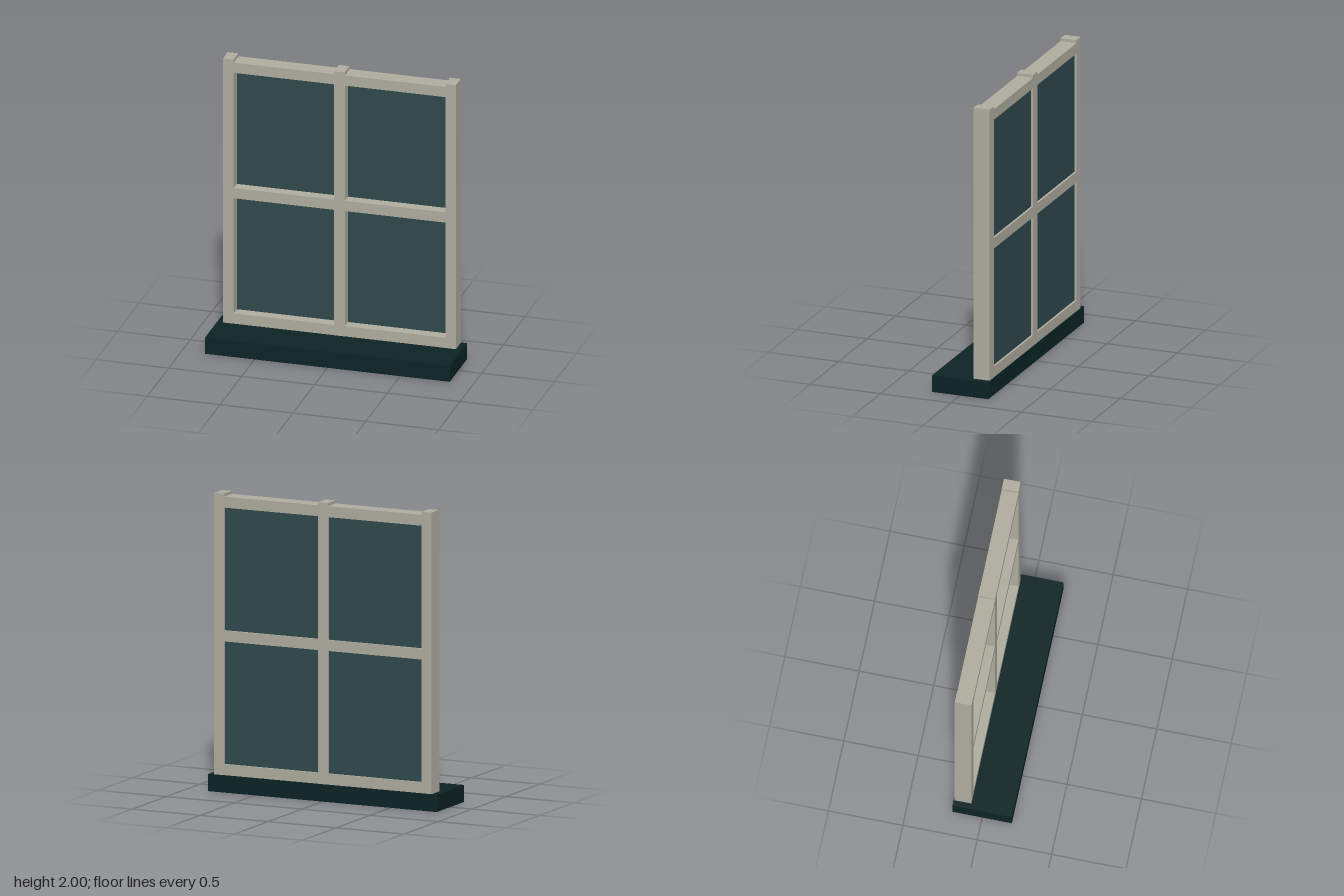
import * as THREE from 'three';

export function createModel() {
  const model = new THREE.Group();
  model.name = 'window';

  const material = (name, color) => {
    const m = new THREE.MeshStandardMaterial({ color });
    m.name = name;
    return m;
  };
  const framePaint = material('framePaint', 0xaeab9e);
  const glassTint = material('glassTint', 0x2e484c);
  const sillPaint = material('sillPaint', 0x0c2324);

  // Box given by its minimum and maximum corners
  const block = (name, mat, [x0, y0, z0], [x1, y1, z1]) => {
    const mesh = new THREE.Mesh(new THREE.BoxGeometry(x1 - x0, y1 - y0, z1 - z0), mat);
    mesh.position.set((x0 + x1) / 2, (y0 + y1) / 2, (z0 + z1) / 2);
    mesh.name = name;
    model.add(mesh);
  };

  const back = -0.193, front = -0.08;
  const sillTop = 0.115, bar = 0.073;
  const postX = [-0.763, 0, 0.763];
  const railY = [0.152, 1.047, 1.943];

  // Sill
  block('sill', sillPaint, [-0.84, 0, -0.2], [0.84, sillTop, 0.2]);

  // Upright posts, rising slightly above the top rail
  ['rightPost', 'centrePost', 'leftPost'].forEach((name, i) =>
    block(name, framePaint, [postX[i] - bar / 2, sillTop, back], [postX[i] + bar / 2, 2, front]));

  // Rails and glass panes in each of the two bays
  for (let i = 0; i < 2; i++) {
    const x0 = postX[i] + bar / 2, x1 = postX[i + 1] - bar / 2;
    const side = i ? 'left' : 'right';
    ['Bottom', 'Middle', 'Top'].forEach((name, j) =>
      block(side + name + 'Rail', framePaint,
        [x0, railY[j] - bar / 2, back], [x1, railY[j] + bar / 2, front]));
    ['Lower', 'Upper'].forEach((name, j) =>
      block(side + name + 'Pane', glassTint,
        [x0, railY[j] + bar / 2, -0.178], [x1, railY[j + 1] - bar / 2, -0.155]));
  }

  return model;
}
